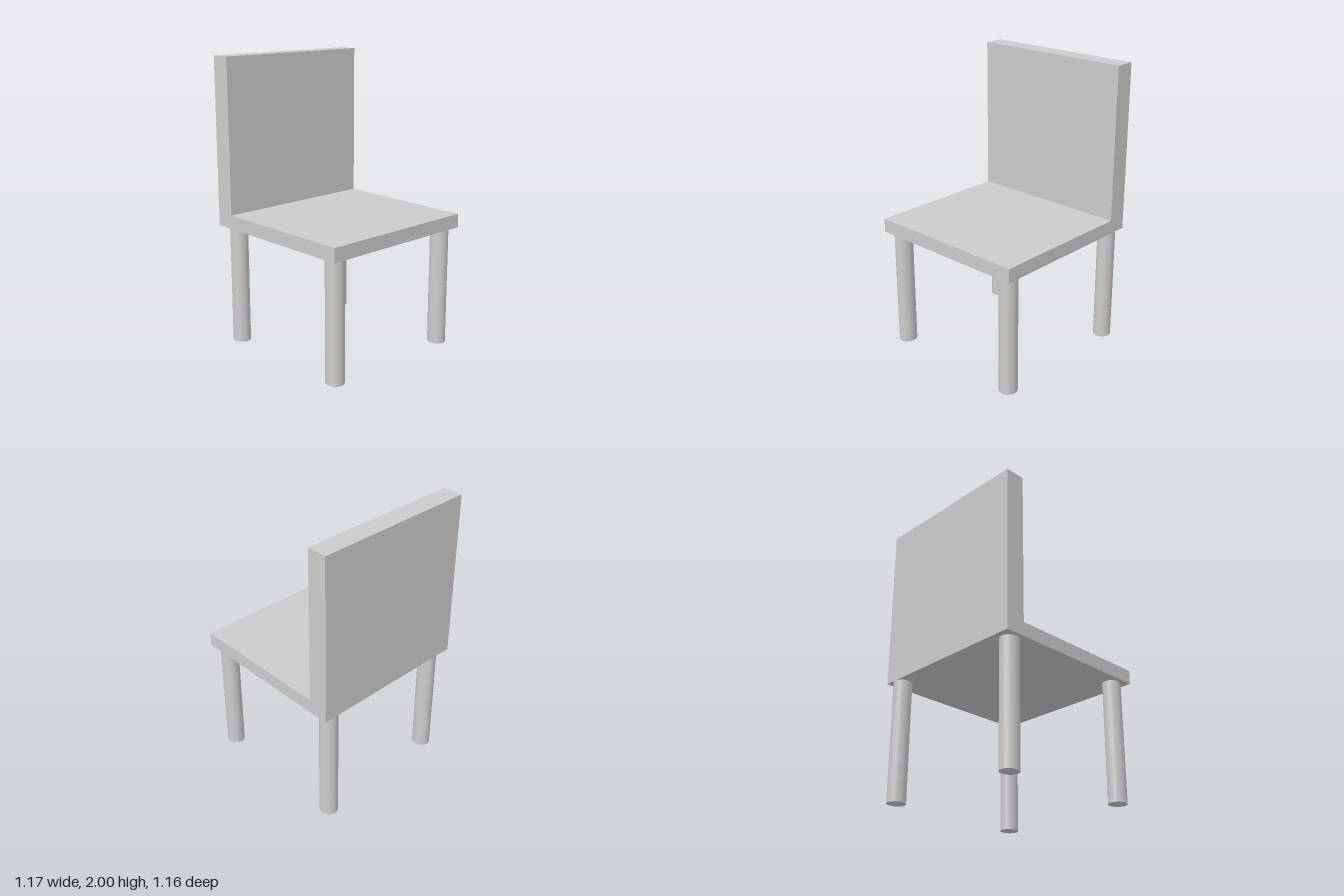
import * as THREE from 'three';

export function createModel() {
  const group = new THREE.Group();
  const material = new THREE.MeshStandardMaterial({ color: 0xcccccc });

  // Seat and backrest: one L-shaped profile extruded across the width
  const depth = 1.16;
  const profile = new THREE.Shape([
    [-0.583, 0.836], [0.583, 0.836], [0.583, 0.932],
    [-0.443, 0.932], [-0.443, 2], [-0.583, 2],
  ].map(([x, y]) => new THREE.Vector2(x, y)));
  const seatGeometry = new THREE.ExtrudeGeometry(profile, { depth, bevelEnabled: false });
  seatGeometry.translate(0, 0, -depth / 2);
  const seat = new THREE.Mesh(seatGeometry, material);
  seat.name = 'seatAndBackrest';
  group.add(seat);

  // Four slightly oval legs; one sits a little closer to the edge
  const legHeight = 0.836;
  const legGeometry = new THREE.CylinderGeometry(1, 1, legHeight, 48);
  legGeometry.scale(0.065, 1, 0.06);
  legGeometry.translate(0, legHeight / 2, 0);
  const legs = [
    ['frontLeftLeg', 0.492, 0.492],
    ['backLeftLeg', 0.492, -0.492],
    ['frontRightLeg', -0.478, 0.492],
    ['backRightLeg', -0.518, -0.492],
  ];
  for (const [name, x, z] of legs) {
    const leg = new THREE.Mesh(legGeometry, material);
    leg.name = name;
    leg.position.set(x, 0, z);
    group.add(leg);
  }

  return group;
}
